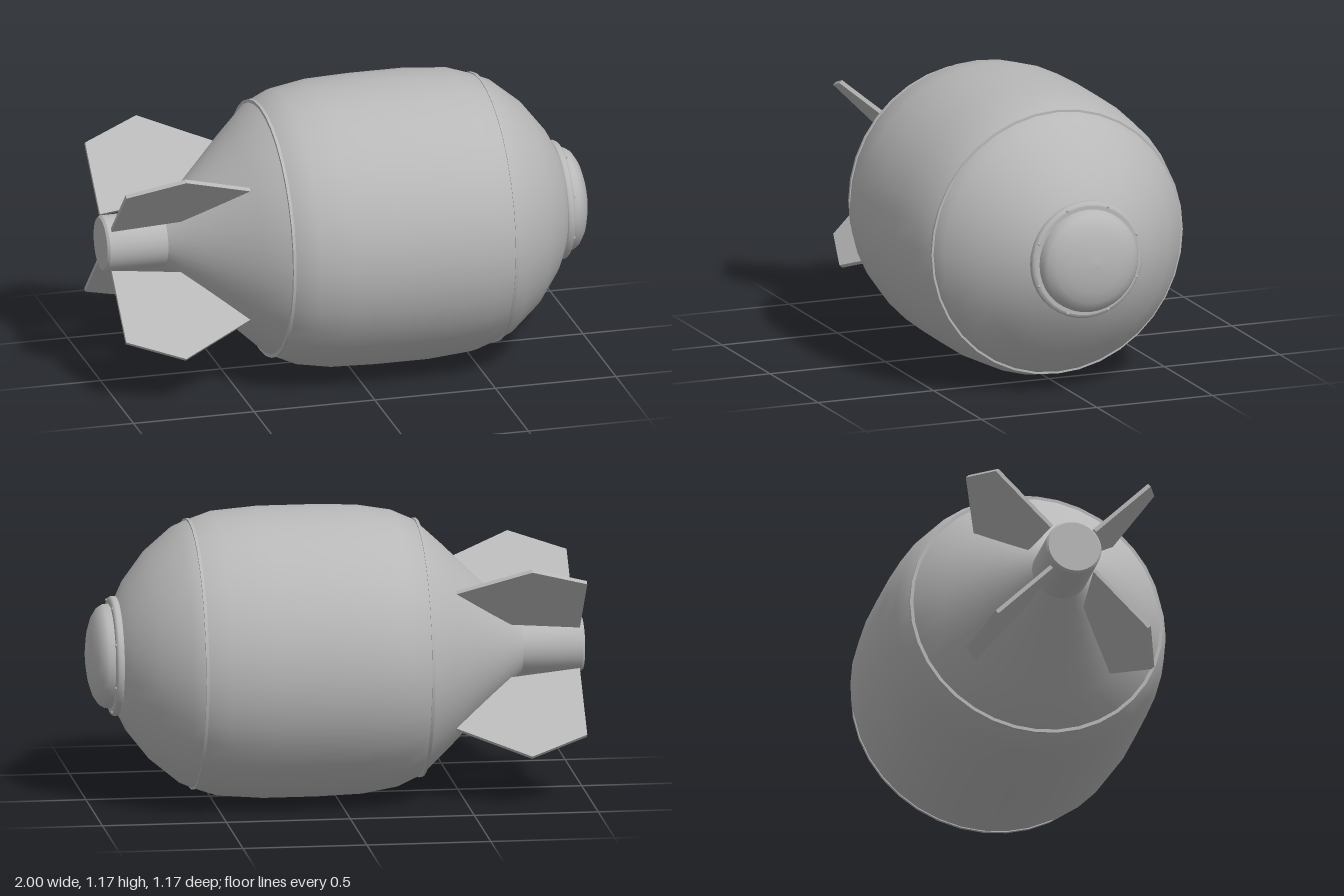
import * as THREE from 'three';

const AXIS_Y = 0.585;

export function createModel() {
  const model = new THREE.Group();
  const shell = new THREE.Group(); // local +y is the nose direction
  shell.name = 'shell';
  shell.rotation.z = -Math.PI / 2;
  shell.position.y = AXIS_Y;
  model.add(shell);

  const grey = new THREE.MeshStandardMaterial({ color: 0xb8b8b8 });
  grey.name = 'plain grey';

  // Surface of revolution from [position along axis, radius] pairs, tail to nose
  const turned = (name, profile, segments = 36) => {
    const points = profile.map(([x, r]) => new THREE.Vector2(r, x));
    const mesh = new THREE.Mesh(new THREE.LatheGeometry(points, segments), grey);
    mesh.name = name;
    shell.add(mesh);
  };

  // Main hull
  turned('body', [
    [-0.75, 0.115], [-0.70, 0.16], [-0.61, 0.246], [-0.54, 0.315], [-0.445, 0.41],
    [-0.335, 0.512], [-0.24, 0.555], [-0.10, 0.579], [0.08, 0.585], [0.30, 0.585],
    [0.485, 0.57], [0.58, 0.538], [0.635, 0.515], [0.75, 0.42], [0.84, 0.305], [0.88, 0.225],
  ]);

  // Raised seam bands
  for (const [name, x, r] of [['rearSeam', -0.335, 0.52], ['frontSeam', 0.58, 0.544]]) {
    turned(name, [[x - 0.006, r - 0.03], [x - 0.006, r]]);
    turned(name, [[x - 0.006, r], [x + 0.006, r]]);
    turned(name, [[x + 0.006, r], [x + 0.006, r - 0.03]]);
  }

  // Tail tube with a slightly bevelled end
  turned('tailTube', [[-0.99, 0.114], [-0.75, 0.115]]);
  turned('tailBevel', [[-1, 0.106], [-0.99, 0.114]]);
  turned('tailEnd', [[-1, 0], [-1, 0.106]]);

  // Nose flange and domed cap
  turned('noseFlange', [
    [0.87, 0.225], [0.873, 0.236], [0.88, 0.24], [0.895, 0.24], [0.903, 0.235], [0.906, 0.225],
  ]);
  turned('flangeFace', [[0.906, 0.225], [0.906, 0.2]]);
  turned('noseCap', [
    [0.90, 0.21], [0.93, 0.208], [0.952, 0.194], [0.972, 0.163],
    [0.987, 0.118], [0.997, 0.06], [1, 0],
  ]);

  // Flange rivets
  const rivetGeometry = new THREE.SphereGeometry(0.006, 8, 6);
  for (let i = 0; i < 8; i++) {
    const a = (i + 0.5) * Math.PI / 4;
    const rivet = new THREE.Mesh(rivetGeometry, grey);
    rivet.name = 'rivet';
    rivet.position.set(Math.cos(a) * 0.229, 0.905, Math.sin(a) * 0.229);
    shell.add(rivet);
  }

  // Four diagonal tail fins, outlined as [along axis, radius]
  const thickness = 0.016;
  const outline = [
    [-0.98, 0.125], [-0.70, 0.16], [-0.58, 0.18], [-0.42, 0.378], [-0.75, 0.54], [-0.98, 0.443],
  ];
  const finShape = new THREE.Shape(outline.map(([x, r]) => new THREE.Vector2(x, r)));
  const finGeometry = new THREE.ExtrudeGeometry(finShape, { depth: thickness, bevelEnabled: false });
  finGeometry.translate(0, 0, -thickness / 2);
  for (let i = 0; i < 4; i++) {
    const fin = new THREE.Mesh(finGeometry, grey);
    fin.name = 'tailFin';
    fin.position.y = AXIS_Y;
    fin.rotation.x = (i + 0.5) * Math.PI / 2;
    model.add(fin);
  }

  return model;
}
